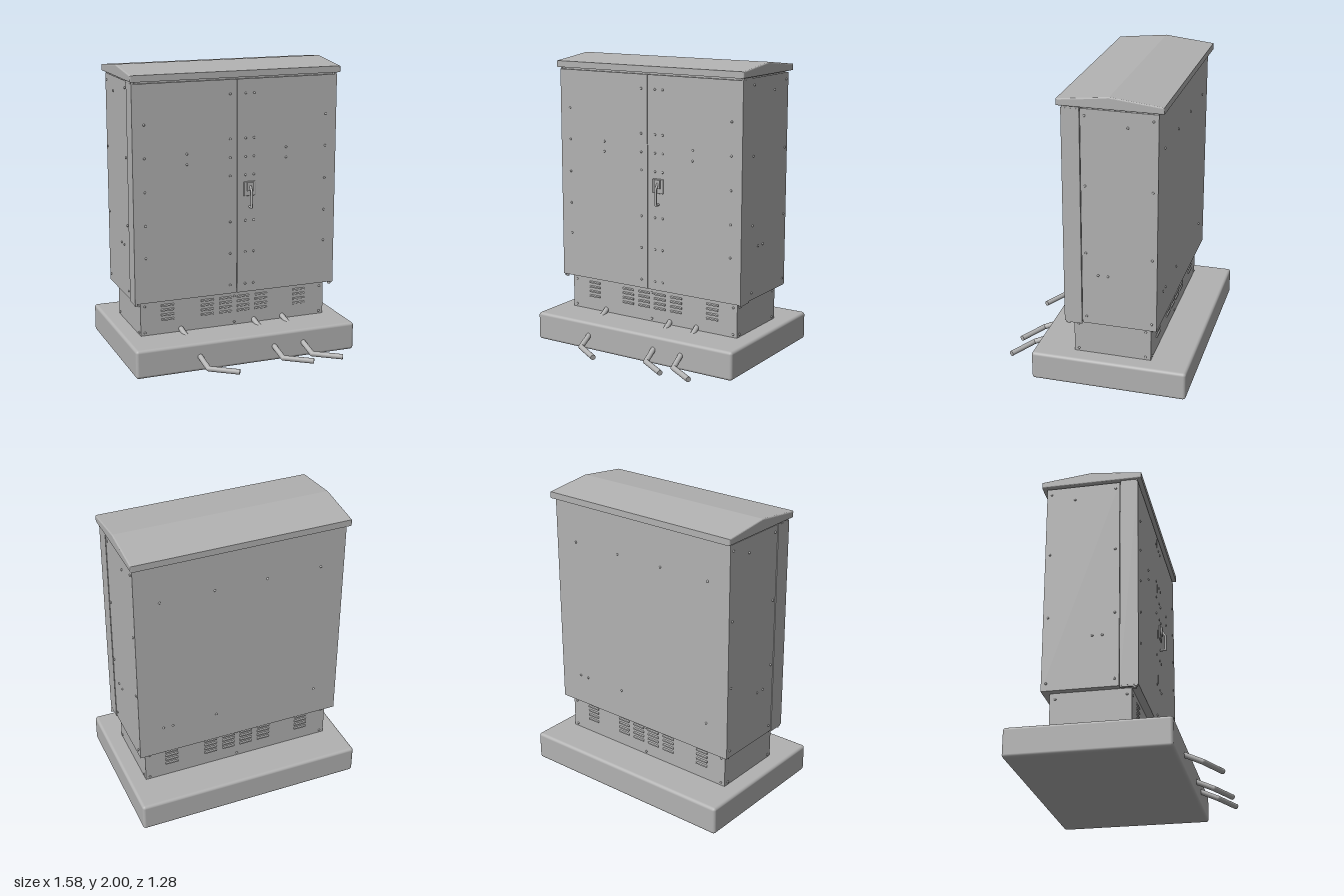
import * as THREE from 'three';
import { RoundedBoxGeometry } from 'three/addons/geometries/RoundedBoxGeometry.js';

export function createModel() {
  const model = new THREE.Group();
  model.name = 'streetCabinet';
  const grey = new THREE.MeshStandardMaterial({ color: 0xb2b2b2 });
  grey.name = 'paintedGrey';

  const add = (name, geometry, x = 0, y = 0, z = 0, parent = model) => {
    const mesh = new THREE.Mesh(geometry, grey);
    mesh.name = name;
    mesh.position.set(x, y, z);
    parent.add(mesh);
    return mesh;
  };
  // Box given by its limits on each axis
  const box = (name, x0, x1, y0, y1, z0, z1, parent) =>
    add(name, new THREE.BoxGeometry(x1 - x0, y1 - y0, z1 - z0),
      (x0 + x1) / 2, (y0 + y1) / 2, (z0 + z1) / 2, parent);
  const group = (name) => {
    const g = new THREE.Group();
    g.name = name;
    model.add(g);
    return g;
  };
  // Round bar between two points
  const bar = (name, a, b, radius, parent) => {
    const dir = b.clone().sub(a);
    const mesh = add(name, new THREE.CylinderGeometry(radius, radius, dir.length(), 20), 0, 0, 0, parent);
    mesh.position.copy(a).add(b).multiplyScalar(0.5);
    mesh.quaternion.setFromUnitVectors(new THREE.Vector3(0, 1, 0), dir.normalize());
  };

  // Foundation slab, plinth and cabinet body
  add('foundationSlab', new RoundedBoxGeometry(1.58, 0.195, 1.05, 3, 0.02), 0, 0.0975, -0.115);
  box('plinth', -0.675, 0.675, 0.18, 0.45, -0.38, 0.14);
  box('cabinetBody', -0.722, 0.722, 0.44, 1.91, -0.427, 0.068);
  box('doorFrame', -0.71, 0.71, 0.45, 1.9, 0.06, 0.18);
  box('roofSeat', -0.7, 0.7, 1.89, 1.93, -0.41, 0.17);

  // Pair of doors with a thin gap between them, and side flanges behind
  for (const s of [-1, 1]) {
    const side = s < 0 ? 'right' : 'left';
    const [x0, x1] = s < 0 ? [-0.725, -0.002] : [0.002, 0.725];
    box(side + 'Door', x0, x1, 0.44, 1.905, 0.072, 0.19);
    box(side + 'DoorFlange', s * 0.718 - 0.006, s * 0.718 + 0.006, 0.43, 1.92, 0.072, 0.184);
    for (const y of [0.435, 1.91])
      add(side + 'HingePin', new THREE.CylinderGeometry(0.012, 0.012, 0.03, 12), s * 0.71, y, 0.165);
  }

  // Gabled roof with softened edges
  const bevel = 0.008;
  const profile = new THREE.Shape([
    [-0.207, 1.928], [-0.207, 1.956], [0.122, 1.992], [0.454, 1.956], [0.454, 1.928],
  ].map(([a, y]) => new THREE.Vector2(-a, y)));
  const length = 1.48 - 2 * bevel;
  const roof = new THREE.ExtrudeGeometry(profile, {
    depth: length, bevelSize: bevel, bevelThickness: bevel, bevelSegments: 3,
  });
  roof.translate(0, 0, -length / 2).rotateY(-Math.PI / 2);
  add('roof', roof);

  // Rivets: domes pointing along the given axis
  const rivets = group('rivets');
  const dome = new THREE.SphereGeometry(0.008, 10, 4, 0, Math.PI * 2, 0, Math.PI / 2);
  const up = new THREE.Vector3(0, 1, 0);
  const rivet = (x, y, z, nx, nz) => {
    const mesh = add('rivet', dome, x, y, z, rivets);
    mesh.quaternion.setFromUnitVectors(up, new THREE.Vector3(nx, 0, nz));
  };
  for (const x of [-0.05, 0.06, 0.12])
    for (const y of [1.81, 1.51, 1.385, 1.26, 0.945, 0.725, 0.5]) rivet(x, y, 0.19, 0, 1);
  for (const s of [-1, 1]) {
    for (const y of [1.64, 1.42, 1.195, 0.97, 0.75]) rivet(s * 0.645, y, 0.19, 0, 1);
    for (const y of [1.43, 1.36]) rivet(s * 0.355, y, 0.19, 0, 1);
    for (const y of [1.865, 1.405, 0.945, 0.49])
      for (const z of [0.04, -0.395]) rivet(s * 0.722, y, z, s, 0);
    for (const [z, y] of [[-0.235, 1.81], [-0.04, 0.795], [-0.105, 0.795]])
      rivet(s * 0.722, y, z, s, 0);
    for (const y of [0.4, 0.215])
      for (const z of [0.11, -0.345]) rivet(s * 0.675, y, z, s, 0);
  }
  for (const x of [-0.553, -0.176, 0.185, 0.553]) rivet(x, 1.64, -0.427, 0, -1);
  for (const x of [-0.553, 0.175, 0.485, 0.553]) rivet(x, 0.65, -0.427, 0, -1);
  for (const x of [-0.645, 0, 0.645])
    for (const y of [0.4, 0.215]) {
      rivet(x, y, 0.14, 0, 1);
      rivet(x, y, -0.38, 0, -1);
    }

  // Ventilation louvres on the front and back of the plinth
  const hood = new THREE.ExtrudeGeometry(new THREE.Shape([
    new THREE.Vector2(0, -0.007), new THREE.Vector2(0.009, -0.007),
    new THREE.Vector2(0.007, 0.001), new THREE.Vector2(0, 0.007),
  ]), { depth: 0.09, bevelEnabled: false });
  hood.translate(0, 0, -0.045).rotateY(-Math.PI / 2);
  const louvres = group('louvres');
  for (const x of [-0.485, -0.198, -0.065, 0.065, 0.198, 0.485])
    for (const y of [0.395, 0.362, 0.328, 0.295]) {
      add('frontLouvre', hood, x, y, 0.14, louvres);
      add('backLouvre', hood, x, y, -0.38, louvres).rotation.y = Math.PI;
    }

  // Door handle: plate, pivot block and swing lever
  const handle = group('doorHandle');
  add('handlePlate', new RoundedBoxGeometry(0.085, 0.1, 0.012, 2, 0.005), 0.088, 1.165, 0.194, handle);
  box('handlePivot', 0.067, 0.109, 1.15, 1.21, 0.195, 0.21, handle);
  const leverPath = [[1.19, 0.2], [1.15, 0.228], [1.04, 0.228], [1.04, 0.195]]
    .map(([y, z]) => new THREE.Vector3(0.09, y, z));
  leverPath.slice(1).forEach((p, i) => {
    bar('handleLever', leverPath[i], p, 0.008, handle);
    add('leverJoint', new THREE.SphereGeometry(0.008, 12, 8), p.x, p.y, p.z, handle);
  });

  // Cable conduits passing through the slab and bending aside
  for (const x of [-0.33, 0.205, 0.42]) {
    const conduit = group('conduit');
    const start = new THREE.Vector3(x - 0.062, 0.22, 0.12);
    const bend = new THREE.Vector3(x, 0.055, 0.52);
    const end = new THREE.Vector3(x + 0.18, 0.045, 0.624);
    bar('conduitUpper', start, bend, 0.018, conduit);
    add('conduitElbow', new THREE.SphereGeometry(0.018, 20, 12), bend.x, bend.y, bend.z, conduit);
    bar('conduitLower', bend, end, 0.018, conduit);
  }

  return model;
}
